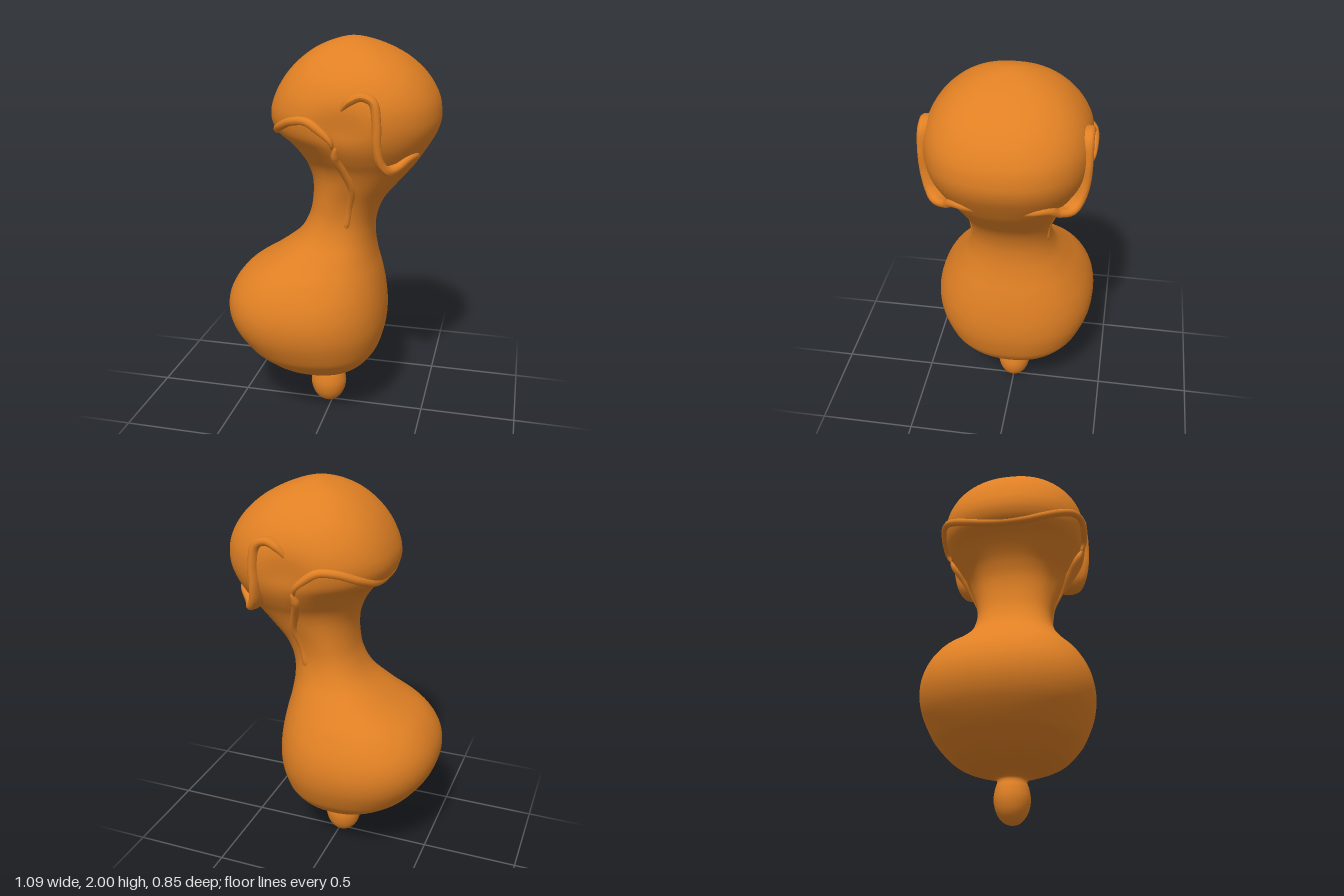
import * as THREE from 'three';

// Body cross-sections: y, min x, max x, half depth
const SECTIONS = [
  [0.226, -0.03, -0.01, 0.01], [0.232, -0.11, 0.07, 0.095], [0.248, -0.195, 0.115, 0.175], [0.27, -0.268, 0.16, 0.238],
  [0.3, -0.33, 0.201, 0.287], [0.35, -0.402, 0.24, 0.337], [0.4, -0.454, 0.264, 0.372], [0.5, -0.522, 0.288, 0.414],
  [0.6, -0.547, 0.292, 0.426], [0.7, -0.526, 0.282, 0.406], [0.8, -0.45, 0.263, 0.356], [0.9, -0.3, 0.238, 0.287],
  [1.0, -0.175, 0.224, 0.226], [1.1, -0.113, 0.231, 0.202], [1.2, -0.09, 0.271, 0.212],
  [1.3, -0.09, 0.35, 0.246], [1.38, -0.115, 0.418, 0.282], [1.44, -0.15, 0.46, 0.322],
  [1.5, -0.2, 0.498, 0.358], [1.55, -0.262, 0.525, 0.38], [1.6, -0.288, 0.54, 0.391],
  [1.65, -0.291, 0.541, 0.395], [1.7, -0.279, 0.533, 0.391], [1.75, -0.258, 0.513, 0.378], [1.8, -0.229, 0.482, 0.355],
  [1.85, -0.19, 0.438, 0.32], [1.9, -0.138, 0.377, 0.27], [1.94, -0.082, 0.307, 0.212],
  [1.97, -0.02, 0.235, 0.148], [1.988, 0.035, 0.175, 0.09], [1.997, 0.075, 0.135, 0.04], [2.0, 0.103, 0.107, 0.003],
];
const ROWS = 180, SIDES = 64, POWER = 2 / 2.3;
const DEG = Math.PI / 180;

const spline = (k) => new THREE.CatmullRomCurve3(
  SECTIONS.map((s) => new THREE.Vector3(s[k], s[0], s[3])), false, 'catmullrom', 0.5);

function sampleRows() {
  const lo = spline(1), hi = spline(2), rows = [];
  for (let i = 0; i <= ROWS; i++) {
    const l = lo.getPoint(i / ROWS), r = hi.getPoint(i / ROWS);
    rows.push({ y: l.y, c: (l.x + r.x) / 2, a: (r.x - l.x) / 2, b: l.z });
  }
  return rows;
}

const bump = (v, centre, width) => Math.exp(-(((v - centre) / width) ** 2));

// Point on a rounded cross-section, with a scoop beside the hook and a hollow under the lip
function rowPoint(row, angle, push = 0) {
  const round = (v) => Math.sign(v) * Math.pow(Math.abs(v), POWER);
  const cos = Math.cos(angle), u = round(cos), v = round(Math.sin(angle));
  const scoop = 0.02 * bump(cos, 0, 0.2) * bump(row.y, 1.62, 0.09);
  const hollow = 0.025 * THREE.MathUtils.smoothstep(-cos, 0, 0.5) * bump(row.y, 1.38, 0.14);
  return new THREE.Vector3(row.c + u * (row.a + push), row.y, v * (row.b + push - scoop - hollow));
}

function bodyGeometry(rows) {
  const pos = [], index = [];
  for (const row of rows)
    for (let j = 0; j < SIDES; j++) pos.push(...rowPoint(row, (j / SIDES) * Math.PI * 2).toArray());
  for (let i = 0; i < ROWS; i++)
    for (let j = 0; j < SIDES; j++) {
      const k = (j + 1) % SIDES;
      const a = i * SIDES + j, b = i * SIDES + k, c = a + SIDES, d = b + SIDES;
      index.push(a, c, b, b, c, d);
    }
  // close both ends
  const last = ROWS * SIDES;
  for (let j = 1; j < SIDES - 1; j++) index.push(0, j, j + 1, last, last + j + 1, last + j);
  const geo = new THREE.BufferGeometry();
  geo.setAttribute('position', new THREE.Float32BufferAttribute(pos, 3));
  geo.setIndex(index);
  geo.computeVertexNormals();
  return geo;
}

// Raised ridge along surface points [degrees, y, push]; tapers at its ends, rooted inward
function ridgeGeometry(rows, path, radius, root, mirror) {
  const points = path.map(([deg, y, push]) => {
    const i = Math.max(1, rows.findIndex((r) => r.y >= y));
    const p = rows[i - 1], q = rows[i], t = (y - p.y) / (q.y - p.y);
    const mix = (k) => p[k] + (q[k] - p[k]) * t;
    const pt = rowPoint({ y, c: mix('c'), a: mix('a'), b: mix('b') }, deg * DEG, push);
    if (mirror) pt.z *= -1;
    return pt;
  });
  const curve = new THREE.CatmullRomCurve3(points);
  const steps = 90, around = 10;
  const geo = new THREE.TubeGeometry(curve, steps, radius, around, false);
  const pos = geo.attributes.position, v = new THREE.Vector3(), out = new THREE.Vector3();
  for (let i = 0; i <= steps; i++) {
    const t = i / steps, centre = curve.getPointAt(t);
    const scale = Math.min(1, Math.sqrt(Math.min(t, 1 - t) / 0.1));
    out.set(centre.x - 0.13, 0, centre.z).normalize();
    for (let j = 0; j <= around; j++) {
      const n = i * (around + 1) + j;
      v.fromBufferAttribute(pos, n).sub(centre).multiplyScalar(scale);
      const d = v.dot(out);
      if (d < 0) v.addScaledVector(out, (d / radius) * root);
      v.add(centre);
      pos.setXYZ(n, v.x, v.y, v.z);
    }
  }
  geo.computeVertexNormals();
  return geo;
}

export function createModel() {
  const group = new THREE.Group();
  const orange = new THREE.MeshStandardMaterial({ color: 0xe08024 });
  orange.name = 'orange';
  const add = (name, geo) => {
    const mesh = new THREE.Mesh(geo, orange);
    mesh.name = name;
    group.add(mesh);
    return mesh;
  };
  const rows = sampleRows();

  // Bulging base, neck and domed head
  add('body', bodyGeometry(rows));

  // Small rounded foot, flaring into the base
  const profile = [[0, 0], [0.035, 0.008], [0.065, 0.032], [0.087, 0.07], [0.097, 0.12],
    [0.09, 0.17], [0.08, 0.2], [0.088, 0.22], [0.13, 0.24]].map(([x, y]) => new THREE.Vector2(x, y));
  const foot = add('foot', new THREE.LatheGeometry(new THREE.SplineCurve(profile).getPoints(32), 32));
  foot.position.x = -0.02;
  foot.scale.z = 0.92;

  // Lip that wraps around the head from one side to the other
  const half = [[97, 1.515, 0.012], [95, 1.555, 0.018], [101, 1.61, 0.012], [109, 1.645, 0.006],
    [122, 1.637, 0.002], [136, 1.602, 0], [150, 1.57, -0.005], [165, 1.548, -0.01]];
  const lip = [...half, [180, 1.542, -0.014], ...half.map(([d, y, p]) => [360 - d, y, p]).reverse()];
  add('headLip', ridgeGeometry(rows, lip, 0.02, 0.03, false));

  // Hooked ridge and neck crease on each side
  const hook = [[91, 1.685, -0.012], [87, 1.74, 0], [79, 1.768, 0.012], [72, 1.745, 0.014],
    [70, 1.65, 0.006], [70, 1.54, 0.018], [68, 1.46, 0.043], [61, 1.42, 0.054],
    [49, 1.425, 0.022], [38, 1.46, 0.002], [28, 1.467, -0.006], [12, 1.435, -0.018]];
  const crease = [[94, 1.53, 0.01], [98, 1.47, 0.006], [95, 1.4, 0], [86, 1.3, -0.01],
    [78, 1.19, -0.015], [70, 1.05, -0.021]];
  for (const [side, mirror] of [['front', false], ['back', true]]) {
    add(side + 'HookRidge', ridgeGeometry(rows, hook, 0.021, 0.05, mirror));
    add(side + 'NeckCrease', ridgeGeometry(rows, crease, 0.02, 0.03, mirror));
  }
  return group;
}
